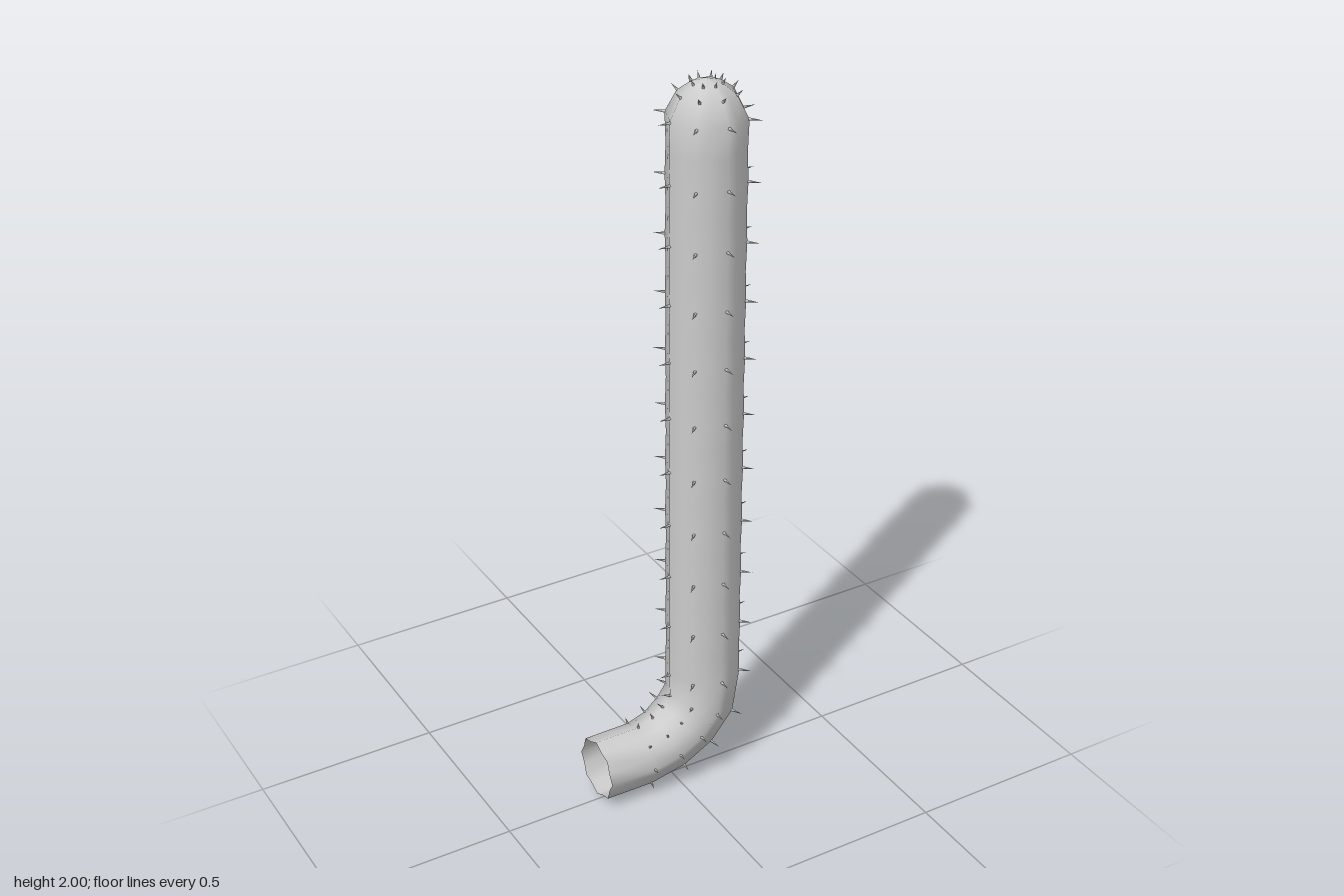
import * as THREE from 'three';
import { mergeGeometries } from 'three/addons/utils/BufferGeometryUtils.js';

const RIDGES = 8, SIDES = RIDGES * 2, AXIS = 0.097;

// Rings along the stem: centre x, y, heading in degrees, ridge radius, z squeeze, spine length, spine lift
function stemRings() {
  const rings = [
    [-0.233, 0.105, 0, 0.086, 1, 0, 0],
    [-0.1, 0.105, 2, 0.087, 1, 0.017, 0],
    [-0.022, 0.125, 24, 0.09, 1, 0.02, 0],
    [0.04, 0.165, 45, 0.095, 1, 0.027, 0],
    [0.087, 0.225, 68, 0.098, 1, 0.03, 0],
  ];
  // Straight trunk, slightly pinched between the spine rows
  for (let i = 0; i <= 10; i++) {
    const y = 0.33 + i * 0.1575;
    rings.push([AXIS, y, 90, 0.103, 1, 0.031, 0]);
    if (i < 10) rings.push([AXIS, y + 0.079, 90, 0.102, 0.96, 0, 0]);
  }
  // Domed tip
  rings.push([AXIS, 1.962, 90, 0.073, 1, 0.02, 45]);
  rings.push([AXIS, 1.987, 90, 0.038, 1, 0.016, 65]);
  rings.push([AXIS, 1.997, 90, 0.0005, 1, 0, 0]);
  return rings;
}

// Point on a ring and its outward direction at angle phi
function ringPoint([x, y, deg, r, squeeze], phi, scale = 1) {
  const a = THREE.MathUtils.degToRad(deg);
  const dir = new THREE.Vector3(Math.sin(a) * Math.cos(phi), -Math.cos(a) * Math.cos(phi), Math.sin(phi));
  const p = dir.clone().multiplyScalar(r * scale);
  p.z *= squeeze;
  p.add(new THREE.Vector3(x, y, 0));
  return { p, dir };
}

// Ribbed stem, open at its cut end
function stemGeometry(rings) {
  const pos = [], index = [];
  rings.forEach((ring, i) => {
    for (let j = 0; j < SIDES; j++) {
      const { p } = ringPoint(ring, (j / SIDES) * Math.PI * 2, j % 2 ? 0.88 : 1);
      pos.push(p.x, p.y, p.z);
      if (i === rings.length - 1) continue;
      const k = (j + 1) % SIDES;
      const a = i * SIDES + j, b = i * SIDES + k, c = a + SIDES, d = b + SIDES;
      index.push(a, c, b, b, c, d);
    }
  });
  const geo = new THREE.BufferGeometry();
  geo.setAttribute('position', new THREE.Float32BufferAttribute(pos, 3));
  geo.setIndex(index);
  geo.computeVertexNormals();
  return geo;
}

// One thin spine on every ridge of every spiny ring
function spineGeometry(rings) {
  const up = new THREE.Vector3(0, 1, 0), parts = [];
  for (const ring of rings) {
    const length = ring[5];
    if (!length) continue;
    const lift = THREE.MathUtils.degToRad(ring[6]);
    for (let j = 0; j < RIDGES; j++) {
      const { p, dir } = ringPoint(ring, (j / RIDGES) * Math.PI * 2);
      dir.multiplyScalar(Math.cos(lift)).addScaledVector(up, Math.sin(lift)).normalize();
      const sunk = 0.004;
      const cone = new THREE.ConeGeometry(0.0045, length + sunk, 5);
      cone.translate(0, (length - sunk) / 2, 0);
      cone.applyQuaternion(new THREE.Quaternion().setFromUnitVectors(up, dir));
      cone.translate(p.x, p.y, p.z);
      parts.push(cone);
    }
  }
  return mergeGeometries(parts);
}

export function createModel() {
  const group = new THREE.Group();
  group.name = 'cactusArm';
  const rings = stemRings();

  const stem = new THREE.Mesh(
    stemGeometry(rings),
    new THREE.MeshStandardMaterial({ color: 0xcccccc, side: THREE.DoubleSide })
  );
  stem.name = 'stem';

  const spines = new THREE.Mesh(spineGeometry(rings), new THREE.MeshStandardMaterial({ color: 0xcccccc }));
  spines.name = 'spines';

  group.add(stem, spines);
  return group;
}
